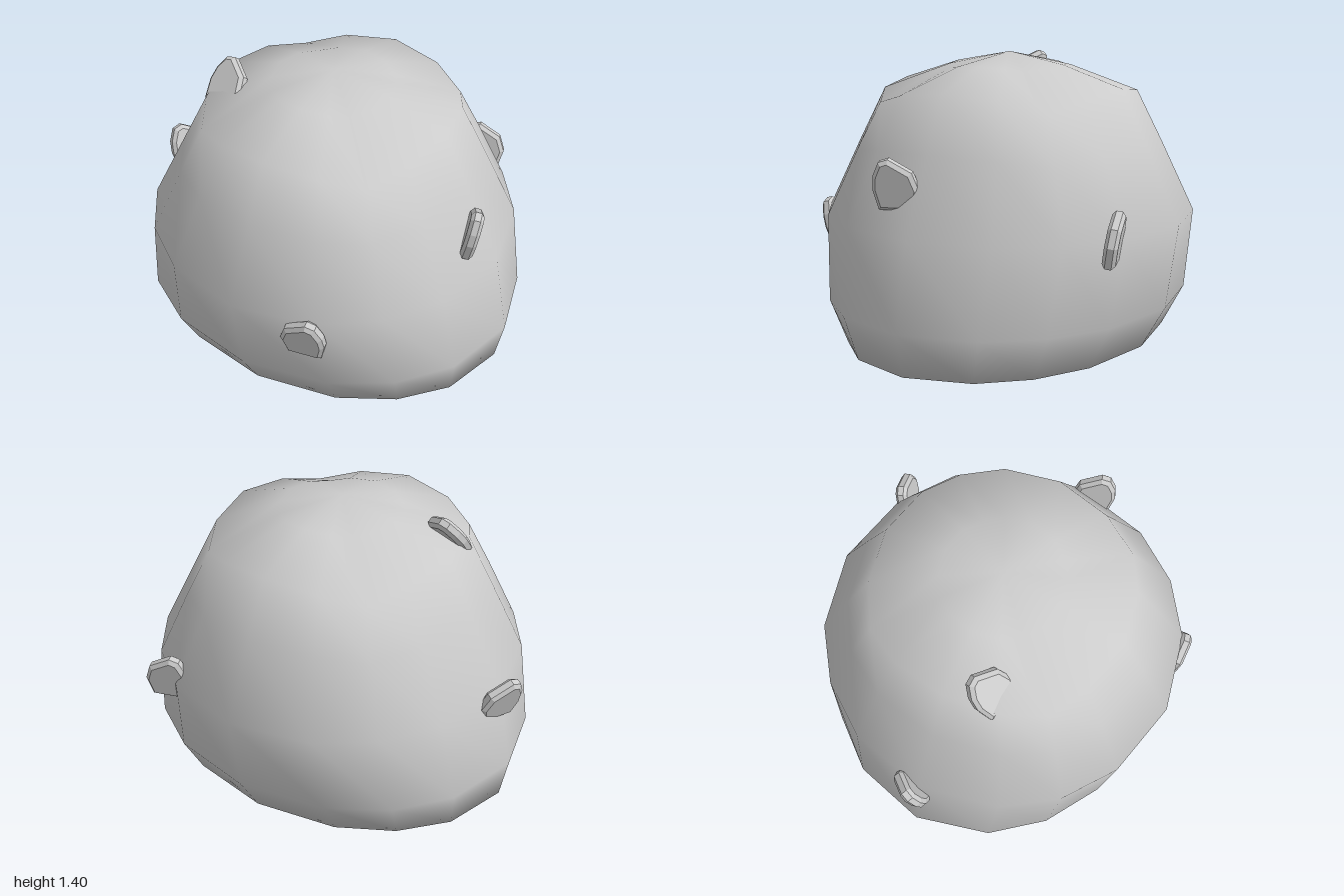
import * as THREE from 'three';

const material = new THREE.MeshStandardMaterial({ color: 0xcccccc });

// Smooth dome: 16-sided rings, joined and closed by a point at each end
function makeBody() {
  const SIDES = 16;
  const angles = [0, 25.5, 45, 64.5].map((d) => THREE.MathUtils.degToRad(d));
  // half width x, half depth z, height, corner drop, corner bulge
  const rings = [
    [0.5, 0.4, 0, 0, 0],
    [0.95, 0.74, 0, 0, 0],
    [0.99, 0.86, 0.21, 0, 0],
    [0.91, 0.92, 0.62, 0, 0],
    [0.73, 0.75, 0.98, 0.04, 0.03],
    [0.6, 0.62, 1.245, 0.08, 0.06],
    [0.3, 0.3, 1.345, 0.02, 0],
  ];
  const points = [];
  const index = [];
  for (const [rx, rz, y, drop, bulge] of rings) {
    for (let j = 0; j < SIDES; j++) {
      const a = angles[j % 4] + Math.floor(j / 4) * Math.PI / 2;
      const corner = Math.sin(2 * a) ** 4;
      const k = 1 + bulge * corner;
      points.push(rx * k * Math.cos(a), y - drop * corner, rz * k * Math.sin(a));
    }
  }
  const bottom = points.length / 3;
  const apex = bottom + 1;
  points.push(0, 0, 0, 0, 1.4, 0);
  const last = (rings.length - 1) * SIDES;
  for (let j = 0; j < SIDES; j++) {
    const n = (j + 1) % SIDES;
    for (let i = 0; i < rings.length - 1; i++) {
      const lo = i * SIDES;
      const hi = lo + SIDES;
      index.push(lo + j, hi + j, hi + n, lo + j, hi + n, lo + n);
    }
    index.push(bottom, j, n, apex, last + n, last + j);
  }
  const geometry = new THREE.BufferGeometry();
  geometry.setAttribute('position', new THREE.Float32BufferAttribute(points, 3));
  geometry.setIndex(index);
  geometry.computeVertexNormals();
  return geometry;
}

// Thin chip with a rounded, off-centre tip and bevelled rim
function makeChip() {
  const outline = [
    [-0.07, -0.11], [0.07, -0.11], [0.09, -0.03], [0.085, 0.03],
    [0.06, 0.085], [0.03, 0.095], [-0.065, 0.04], [-0.09, -0.03],
  ].map(([x, y]) => new THREE.Vector2(x, y));
  const geometry = new THREE.ExtrudeGeometry(new THREE.Shape(outline), {
    depth: 0.03, bevelEnabled: true, bevelThickness: 0.016, bevelSize: 0.018, bevelSegments: 1,
  });
  return geometry.translate(0, 0, -0.015);
}

export function createModel() {
  const model = new THREE.Group();
  model.name = 'studdedDome';

  const body = new THREE.Mesh(makeBody(), material);
  body.name = 'body';
  model.add(body);

  // Chips set into the surface: name, position, facing, mirrored
  const chips = [
    ['frontChip', [0.335, 0.53, 0.84], [0.17, -0.25, 0.95], false],
    ['leftChip', [0.82, 0.86, 0.11], [0.92, -0.18, -0.34], true],
    ['topChip', [-0.48, 1.27, 0.175], [-0.2, 0.62, 0.72], true],
    ['rightChip', [-0.935, 0.61, -0.04], [-0.85, -0.35, -0.45], false],
    ['backChip', [0.46, 0.645, -0.81], [-0.31, -0.15, -0.94], false],
  ];
  const chip = makeChip();
  const mirroredChip = chip.clone().rotateY(Math.PI);
  for (const [name, position, facing, mirrored] of chips) {
    const mesh = new THREE.Mesh(mirrored ? mirroredChip : chip, material);
    mesh.name = name;
    mesh.position.set(...position);
    mesh.lookAt(new THREE.Vector3(...position).add(new THREE.Vector3(...facing)));
    model.add(mesh);
  }
  return model;
}
